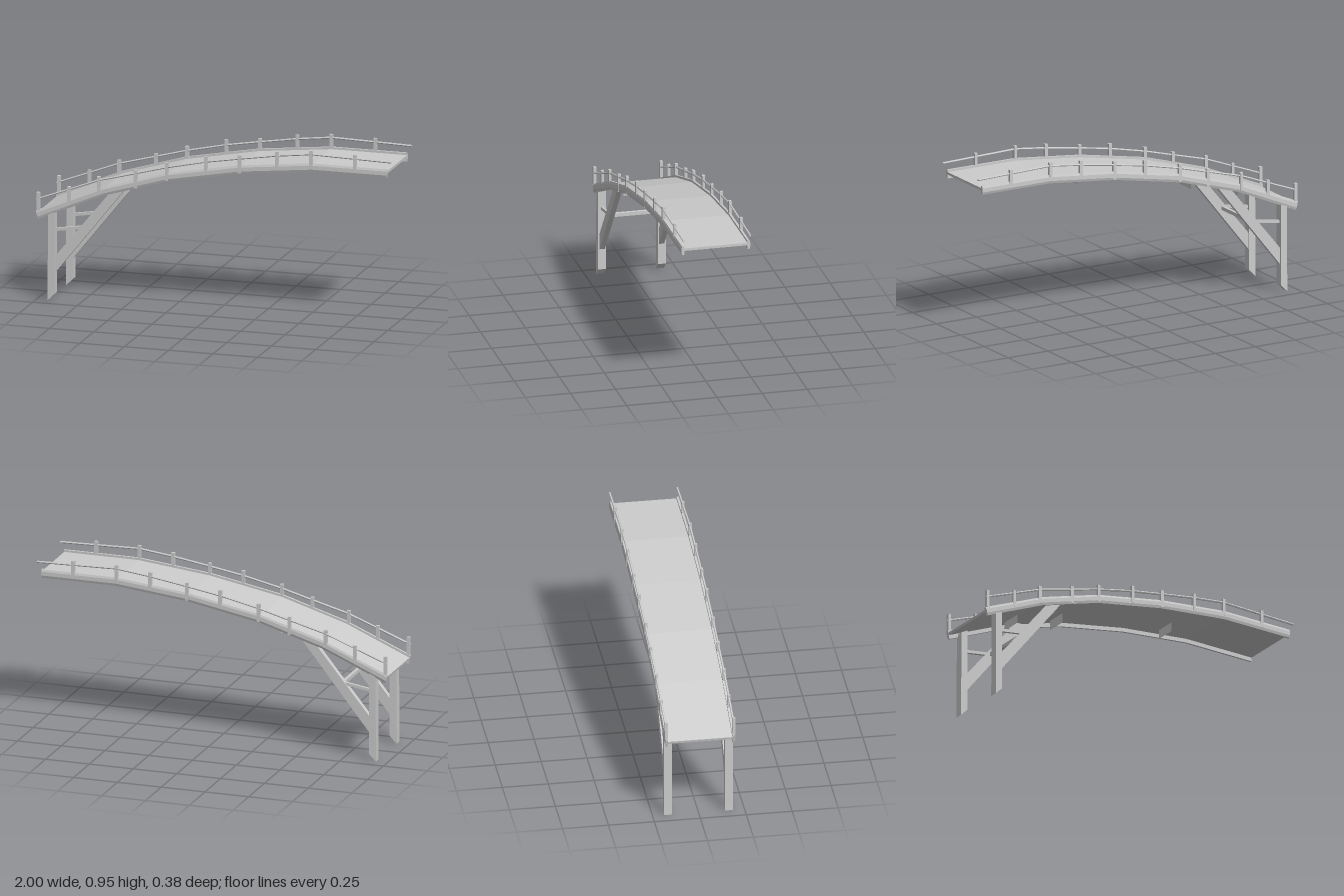
import * as THREE from 'three';

const grey = new THREE.MeshStandardMaterial({ color: 0xcccccc });
grey.name = 'pale grey';
const greySheet = new THREE.MeshStandardMaterial({ color: 0xcccccc });
greySheet.name = 'pale grey';

function add(parent, name, geometry, material = grey) {
  const mesh = new THREE.Mesh(geometry, material);
  mesh.name = name;
  parent.add(mesh);
  return mesh;
}

// Sweep a [z, y] profile (counter-clockwise seen from +x) along a path of [x, y] points.
// lean shifts the lower points of the first ring so its end is cut square to the slope.
function sweep(path, profile, lean = 0) {
  const rings = path.map(([x, y], i) =>
    profile.map(([z, dy]) => [x - (i === 0 ? dy * lean : 0), y + dy, z]));
  const pos = [];
  const n = profile.length;
  const tri = (...p) => p.forEach((q) => pos.push(...q));
  for (let i = 0; i < rings.length - 1; i++) {
    const a = rings[i], b = rings[i + 1];
    for (let j = 0; j < n; j++) {
      const k = (j + 1) % n;
      tri(a[j], a[k], b[j]);
      tri(a[k], b[k], b[j]);
    }
  }
  const last = rings[rings.length - 1];
  for (let j = 1; j < n - 1; j++) {
    tri(rings[0][0], rings[0][j + 1], rings[0][j]);
    tri(last[0], last[j], last[j + 1]);
  }
  const g = new THREE.BufferGeometry();
  g.setAttribute('position', new THREE.Float32BufferAttribute(pos, 3));
  g.computeVertexNormals();
  return g;
}

// Flat [x, y] outline given thickness between two z values.
function slab(points, z0, z1) {
  const shape = new THREE.Shape(points.map(([x, y]) => new THREE.Vector2(x, y)));
  const g = new THREE.ExtrudeGeometry(shape, { depth: z1 - z0, bevelEnabled: false });
  return g.translate(0, 0, z0);
}

// Underside line of the arched span
const arch = [[-0.99, 0.447], [-0.63, 0.603], [-0.27, 0.711], [0.14, 0.787], [0.55, 0.83], [0.975, 0.83]];

export function createModel() {
  const group = new THREE.Group();

  // Deck between the side beams
  add(group, 'deck', sweep(arch, [[0.177, 0.022], [-0.177, 0.022], [-0.177, 0.036], [0.177, 0.036]], 0.2));

  for (const s of [1, -1]) {
    const side = new THREE.Group();
    side.name = s > 0 ? 'frontSide' : 'backSide';
    group.add(side);
    const mirrored = (profile) => (s > 0 ? profile : profile.map(([z, y]) => [-z, y]).reverse());
    const span = (a, b) => (s > 0 ? [a, b] : [-b, -a]);

    // Side beam with a slightly chamfered outer face
    add(side, 'sideBeam', sweep(arch, mirrored([
      [0.186, 0], [0.175, 0], [0.175, 0.048], [0.187, 0.048], [0.191, 0.036], [0.191, 0.014],
    ]), 0.25));

    // Railing posts: x, top y
    const posts = [[-0.988, 0.597], [-0.815, 0.642], [-0.648, 0.71], [-0.44, 0.763], [-0.265, 0.817],
      [-0.045, 0.87], [0.145, 0.892], [0.355, 0.928], [0.548, 0.947], [0.795, 0.944]];
    for (const [x, top] of posts) {
      const h = 0.1;
      const post = add(side, 'railPost', new THREE.BoxGeometry(0.018, h, 0.016));
      post.position.set(x, top - h / 2, s * 0.184);
    }

    // Thin handrail running through the posts
    const rail = [[-1, 0.556], [-0.815, 0.626], [-0.648, 0.69], [-0.44, 0.745], [-0.265, 0.792],
      [-0.045, 0.84], [0.145, 0.872], [0.355, 0.905], [0.548, 0.928], [0.795, 0.922], [1, 0.917]];
    const round = Array.from({ length: 6 }, (_, i) => {
      const a = (i / 6) * Math.PI * 2;
      return [s * 0.184 - 0.006 * Math.cos(a), 0.006 * Math.sin(a)];
    });
    add(side, 'handrail', sweep(rail, round));

    // Leg with a slanted foot
    add(side, 'leg', slab([[-0.936, 0], [-0.895, 0.04], [-0.895, 0.51], [-0.933, 0.49]], ...span(0.144, 0.188)));

    // Diagonal brace up to the beam
    add(side, 'brace', slab([[-0.9, 0.15], [-0.505, 0.645], [-0.57, 0.645], [-0.9, 0.242]], ...span(0.15, 0.179)));

    // Short strut between leg and brace
    add(side, 'strut', slab([[-0.9, 0.384], [-0.73, 0.41], [-0.73, 0.427], [-0.9, 0.4]], ...span(0.157, 0.172)));
  }

  // Crossbar joining the two braces
  const bar = add(group, 'crossbar', new THREE.BoxGeometry(0.018, 0.02, 0.32));
  bar.position.set(-0.735, 0.412, 0);

  // Thin plates hanging below the deck, facing the high end: x, centre y, centre z
  for (const [x, y, z] of [[0.34, 0.806, -0.065], [-0.37, 0.67, -0.065], [-0.52, 0.63, 0.08], [-0.665, 0.59, -0.065]]) {
    const plate = add(group, 'hangingPlate', new THREE.PlaneGeometry(0.12, 0.055), greySheet);
    plate.rotation.y = Math.PI / 2;
    plate.position.set(x, y, z);
  }
  greySheet.side = THREE.DoubleSide;

  return group;
}
